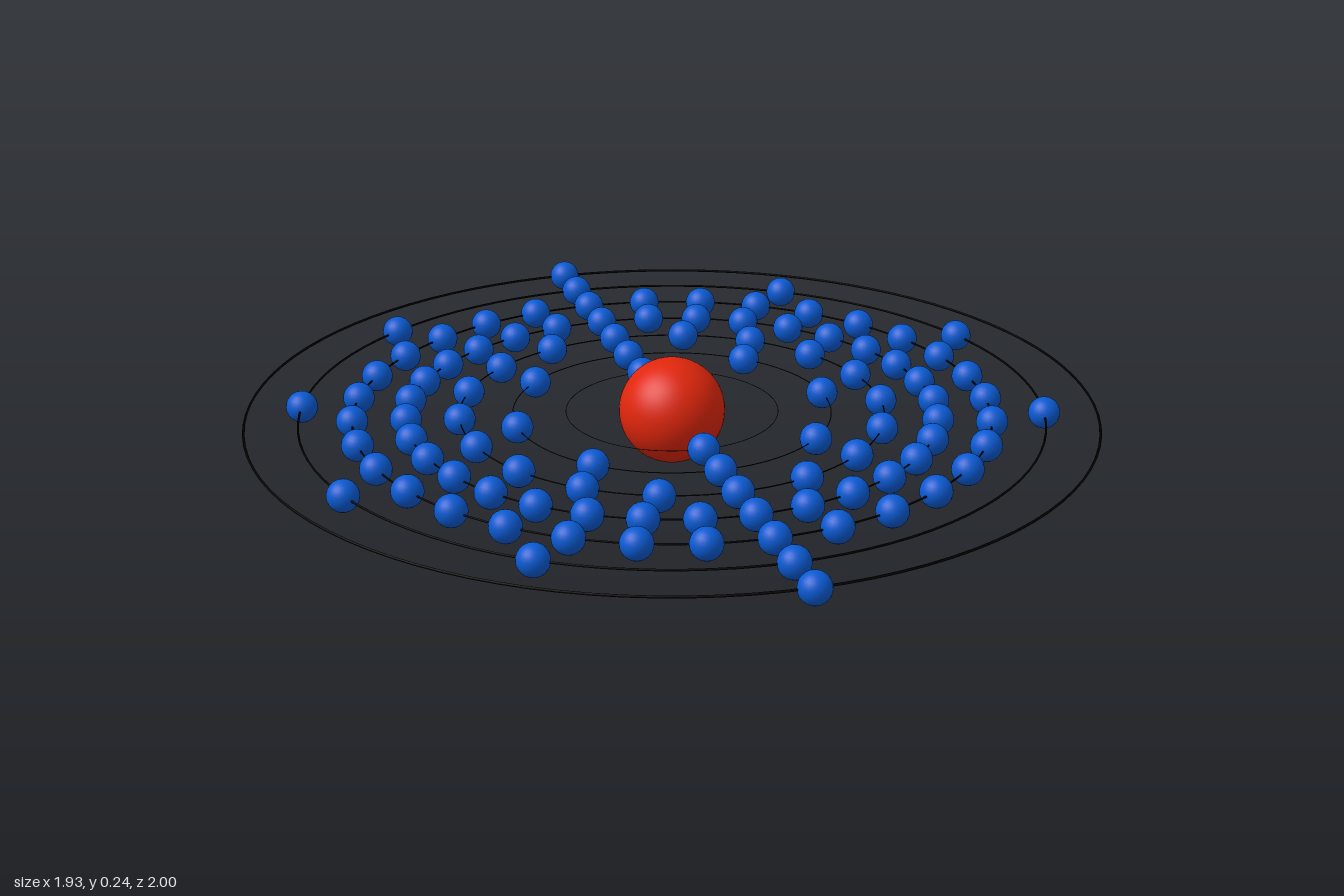
import * as THREE from 'three';

export function createModel() {
  const model = new THREE.Group();
  const red = new THREE.MeshStandardMaterial({ color: 0xe0260c });
  const blue = new THREE.MeshStandardMaterial({ color: 0x0a5ad2 });
  const black = new THREE.MeshStandardMaterial({ color: 0x000000 });

  const unit = 1 / 8.3;            // spacing between shells, also the nucleus radius
  const electronRadius = 0.3 * unit;

  const add = (parent, name, geometry, material) => {
    const mesh = new THREE.Mesh(geometry, material);
    mesh.name = name;
    parent.add(mesh);
    return mesh;
  };

  // Nucleus resting on the ground
  add(model, 'nucleus', new THREE.SphereGeometry(unit, 48, 32), red).position.y = unit;

  // Each shell: evenly spaced slots, and how many of them are filled
  const shells = [
    { slots: 2, filled: 2 },
    { slots: 8, filled: 8 },
    { slots: 18, filled: 18 },
    { slots: 32, filled: 32 },
    { slots: 32, filled: 32 },
    { slots: 10, filled: 9, empty: 4 },
    { slots: 2, filled: 2 },
  ];
  const electronGeometry = new THREE.SphereGeometry(electronRadius, 24, 14);

  shells.forEach(({ slots, empty }, i) => {
    const radius = (i + 2) * unit;
    const shell = new THREE.Group();
    shell.name = `shell${i + 1}`;
    shell.position.y = unit;
    model.add(shell);

    // Thin orbit ring, growing thicker with its radius
    const orbit = new THREE.TorusGeometry(radius, 0.003 * radius, 6, 96).rotateX(Math.PI / 2);
    add(shell, 'orbit', orbit, black);

    // Electrons, counted clockwise from the back
    for (let k = 0; k < slots; k++) {
      if (k === empty) continue;
      const a = (k / slots) * Math.PI * 2;
      add(shell, 'electron', electronGeometry, blue)
        .position.set(radius * Math.sin(a), 0, -radius * Math.cos(a));
    }
  });

  return model;
}
